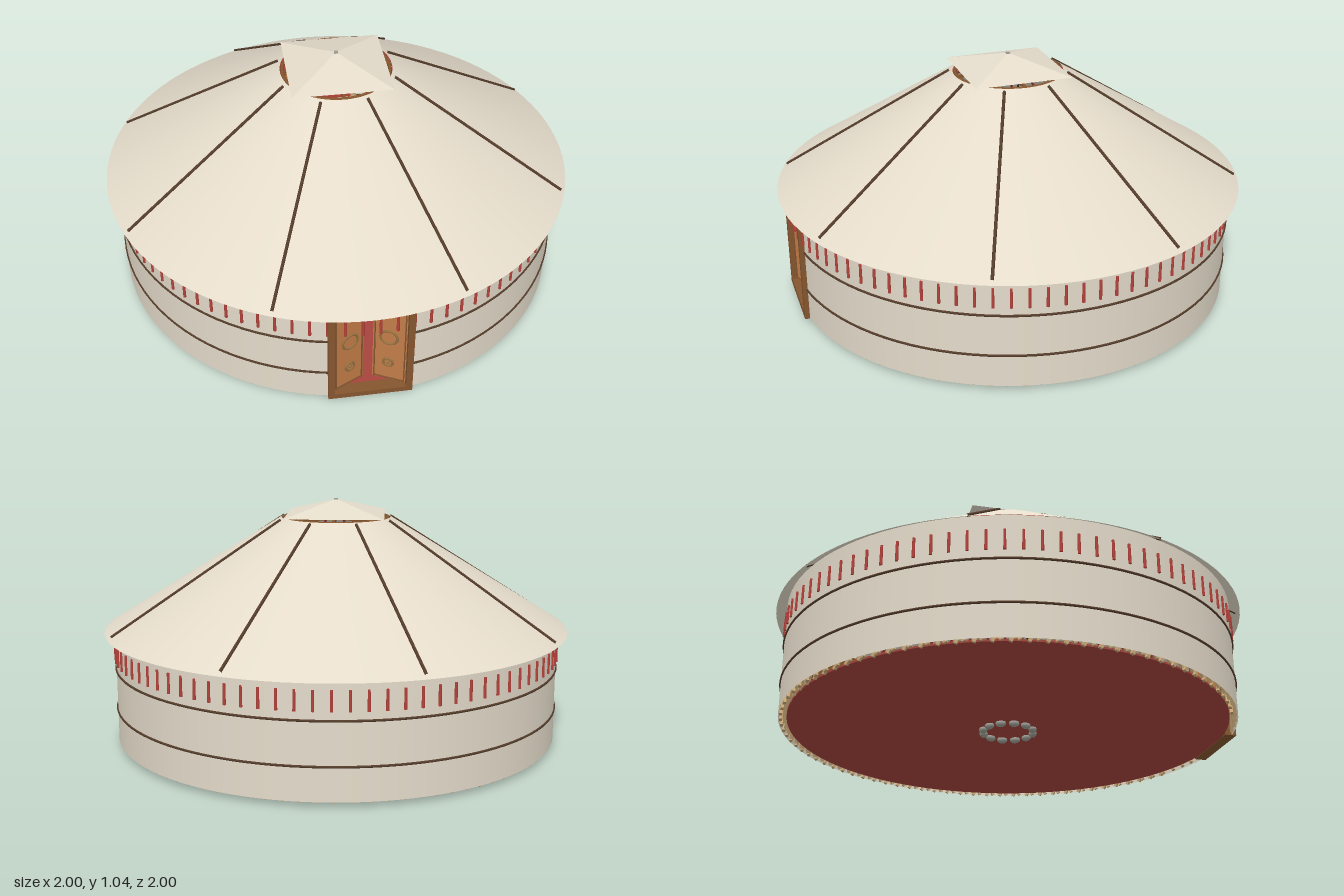
import * as THREE from 'three';
import { mergeGeometries } from 'three/addons/utils/BufferGeometryUtils.js';

const mat = (name, color, side = THREE.FrontSide) => {
  const m = new THREE.MeshStandardMaterial({ color, side });
  m.name = name;
  return m;
};

export function createModel() {
  const felt = mat('felt', 0xe4dbca, THREE.DoubleSide);
  const rope = mat('dark rope', 0x543c2a);
  const wood = mat('door wood', 0xc27c48);
  const frameWood = mat('frame wood', 0x85562f);
  const carved = mat('carved ring', 0x94703f);
  const red = mat('red', 0xb8423b);
  const carpet = mat('carpet', 0xa5443c);
  const stone = mat('stone', 0x9b9b93);
  const lath = mat('lattice wood', 0xc8a878);
  const white = mat('white cloth', 0xeee8dc);

  const model = new THREE.Group();
  const add = (name, geo, material, x = 0, y = 0, z = 0, parent = model) => {
    const m = new THREE.Mesh(geo, material);
    m.name = name;
    m.position.set(x, y, z);
    parent.add(m);
    return m;
  };
  const box = (w, h, d) => new THREE.BoxGeometry(w, h, d);
  // Copies one geometry around the vertical axis, leaving out `skip` radians either side of the front
  const ring = (geo, n, offset = 0, skip = 0) => {
    const copies = [];
    for (let i = 0; i < n; i++) {
      const a = (i + offset) * Math.PI * 2 / n;
      if (Math.min(a, Math.PI * 2 - a) >= skip) copies.push(geo.clone().rotateY(a));
    }
    return mergeGeometries(copies);
  };

  // Felt wall, open at the doorway
  const R = 0.955, gap = 0.158, sweep = Math.PI * 2 - 2 * gap;
  add('wall', new THREE.CylinderGeometry(R, R, 0.49, 96, 1, true, gap, sweep), felt, 0, 0.265);

  // Conical roof with a round smoke hole
  const r0 = 0.235, y0 = 0.96, yEave = 0.485;
  add('roof', new THREE.CylinderGeometry(r0, 1, y0 - yEave, 96, 1, true), felt, 0, (y0 + yEave) / 2);
  const roofY = r => yEave + (1 - r) / (1 - r0) * (y0 - yEave);
  const roofTube = (rIn, rOut, lift, radius) => new THREE.TubeGeometry(new THREE.LineCurve3(
    new THREE.Vector3(0, roofY(rIn) + lift, rIn), new THREE.Vector3(0, roofY(rOut) + lift, rOut)), 1, radius, 8);

  // Roof ropes, and the poles beneath the felt
  add('roofRopes', ring(roofTube(0.25, 0.984, 0.003, 0.0065), 8, 0.5), rope);
  add('roofPoles', ring(roofTube(0.225, 0.93, -0.018, 0.006), 44, 0.5), red);

  // Wall ropes, broken at the door
  for (const y of [0.157, 0.332]) {
    const g = new THREE.TorusGeometry(R + 0.001, 0.005, 8, 96, sweep);
    g.rotateX(Math.PI / 2).rotateY(-Math.PI / 2 - gap);
    add('wallRope', g, rope, 0, y, 0);
  }

  // Red tassels below the eave
  const tassel = new THREE.CylinderGeometry(0.0055, 0.0065, 0.082, 6);
  tassel.translate(0, 0.408, 0.957);
  add('tassels', ring(tassel, 88, 0.5), red);

  // Crown ring with crossed spokes
  add('crownRing', new THREE.TorusGeometry(0.225, 0.008, 8, 48).rotateX(Math.PI / 2), frameWood, 0, 0.955);
  for (const a of [0, 1, 2, 3]) {
    add('crownSpoke', box(0.44, 0.012, 0.012).rotateY(a * Math.PI / 4), frameWood, 0, 0.955);
  }

  // Square pyramid cap
  const cap = new THREE.ConeGeometry(0.21 * Math.SQRT2, 0.065, 4, 1, true).rotateY(Math.PI / 4).toNonIndexed();
  cap.computeVertexNormals();
  add('smokeHoleCap', cap, felt, 0, 1.0025);
  add('capPin', box(0.016, 0.008, 0.016), stone, 0, 1.033);

  // Floor
  add('floor', new THREE.CylinderGeometry(0.92, 0.92, 0.008, 96), carpet, 0, 0.026);

  // Two layers of crossed laths, bent to the curve of the wall
  for (const s of [-1, 1]) {
    const g = box(0.014, 0.53, 0.012, 1, 6, 1).rotateZ(s * 0.45).translate(0, 0.255, 0.937 + s * 0.007);
    const p = g.attributes.position;
    for (let i = 0; i < p.count; i++) {
      const r = p.getZ(i), a = p.getX(i) / r;
      p.setXYZ(i, r * Math.sin(a), p.getY(i), r * Math.cos(a));
    }
    add('wallLattice', ring(g, 90, 0, 0.3), lath);
  }

  // Hearth stones
  const pebble = new THREE.IcosahedronGeometry(0.02, 1);
  pebble.scale(1.15, 0.75, 0.9).translate(0, 0.015, 0.107);
  add('hearthStones', ring(pebble, 12), stone);

  // Hearth cone with a pot, and two crown posts
  add('hearthCone', new THREE.ConeGeometry(0.04, 0.14, 12), wood, 0, 0.1);
  add('pot', new THREE.CylinderGeometry(0.05, 0.04, 0.045, 16), rope, 0, 0.19);
  for (const s of [-1, 1]) {
    add('crownPost', new THREE.CylinderGeometry(0.012, 0.014, 0.93, 10), wood, s * 0.2, 0.49);
  }

  // Chest, folded blankets and hanging rug at the back
  add('chest', box(0.4, 0.17, 0.18), frameWood, 0, 0.115, -0.74);
  for (let i = 0; i < 7; i++) {
    add('blanket', box(0.34, 0.026, 0.14), i % 2 ? red : white, 0, 0.213 + i * 0.026, -0.74);
  }
  add('wallRug', box(0.5, 0.15, 0.008), red, 0, 0.4, -0.88);

  // Door frame
  const door = new THREE.Group();
  door.name = 'door';
  model.add(door);
  for (const s of [-1, 1]) add('doorJamb', box(0.026, 0.46, 0.05), frameWood, s * 0.157, 0.25, 0.935, door);
  for (const y of [0.032, 0.468]) {
    add(y > 0.2 ? 'lintel' : 'threshold', box(0.34, 0.024, 0.05), frameWood, 0, y, 0.935, door);
  }

  // Two leaves standing ajar, with carved rings
  for (const s of [-1, 1]) {
    const leaf = new THREE.Group();
    leaf.name = s > 0 ? 'leftDoorLeaf' : 'rightDoorLeaf';
    leaf.position.set(s * 0.145, 0.25, 0.94);
    leaf.rotation.y = -s * 0.45;
    door.add(leaf);
    const cx = -s * 0.07;
    add('leafPanel', box(0.14, 0.41, 0.014), wood, cx, 0, -0.007, leaf);
    for (const e of [-1, 1]) {
      add('leafStile', box(0.005, 0.4, 0.006), frameWood, cx + e * 0.062, 0, 0.001, leaf);
      add('leafRail', box(0.13, 0.005, 0.006), frameWood, cx, e * 0.197, 0.001, leaf);
    }
    const rx = cx - s * 0.005;
    add('largeRing', new THREE.TorusGeometry(0.035, 0.005, 8, 28), carved, rx, 0.034, 0.001, leaf);
    add('smallRing', new THREE.TorusGeometry(0.02, 0.005, 8, 24), carved, rx, -0.107, 0.001, leaf);
    add('ringBoss', new THREE.SphereGeometry(0.007, 10, 8), carved, rx, -0.107, 0.001, leaf);
  }
  return model;
}
